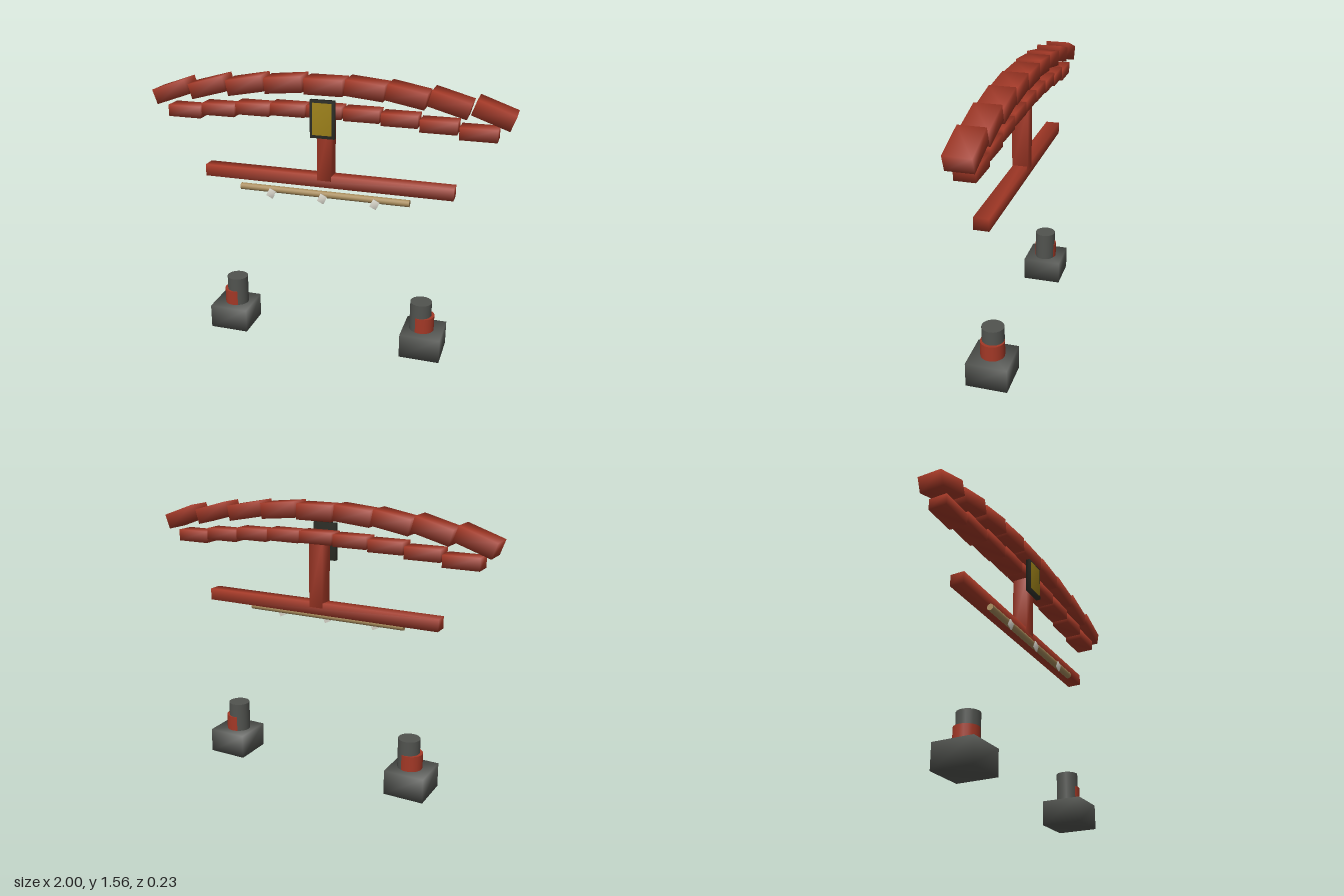
import * as THREE from 'three';
import { mergeVertices } from 'three/addons/utils/BufferGeometryUtils.js';

function material(name, color) {
  const m = new THREE.MeshStandardMaterial({ color });
  m.name = name;
  return m;
}

// Box whose corners share normals, for soft shading over the edges
function softBox(w, h, d) {
  const g = new THREE.BoxGeometry(w, h, d);
  g.deleteAttribute('normal');
  g.deleteAttribute('uv');
  const merged = mergeVertices(g);
  merged.computeVertexNormals();
  return merged;
}

export function createModel() {
  const red = material('vermilion', 0xa23826);
  const stone = material('dark stone', 0x51534f);
  const frame = material('frame black', 0x2a2b24);
  const gold = material('gold', 0x9c8018);
  const straw = material('straw', 0xa88c5c);
  const paper = material('paper', 0xd8d5ca);

  const model = new THREE.Group();
  model.name = 'gate';

  function add(name, geometry, mat, x, y, z, rz = 0, parent = model) {
    const mesh = new THREE.Mesh(geometry, mat);
    mesh.name = name;
    mesh.position.set(x, y, z);
    mesh.rotation.z = rz;
    parent.add(mesh);
    return mesh;
  }

  // Curved top lintel and stepped lower lintel, mirrored from the centre out
  const topBlock = softBox(0.21, 0.085, 0.138);
  const lowBlock = softBox(0.194, 0.065, 0.106);
  const topX = [0, 0.223, 0.442, 0.664, 0.886];
  const topY = [1.507, 1.505, 1.487, 1.462, 1.425];
  const tilt = [0, 5.5, 10.5, 15.5, 19.5];
  const lowY = [1.37, 1.366, 1.356, 1.338, 1.315];
  const topLintel = new THREE.Group();
  topLintel.name = 'topLintel';
  const lowerLintel = new THREE.Group();
  lowerLintel.name = 'lowerLintel';
  model.add(topLintel, lowerLintel);
  for (let i = -4; i <= 4; i++) {
    const k = Math.abs(i);
    const s = Math.sign(i);
    add('topLintelBlock', topBlock, red, s * topX[k], topY[k], 0,
      -s * THREE.MathUtils.degToRad(tilt[k]), topLintel);
    add('lowerLintelBlock', lowBlock, red, i * 0.204, lowY[k], 0, 0, lowerLintel);
  }

  // Tie beam and centre strut
  add('tieBeam', softBox(1.42, 0.066, 0.08), red, 0, 0.978, 0);
  add('centreStrut', softBox(0.08, 0.36, 0.088), red, 0, 1.165, 0);

  // Plaque with thin gold panel
  add('plaqueFrame', softBox(0.136, 0.206, 0.025), frame, 0, 1.338, 0.0665);
  add('plaquePanel', softBox(0.106, 0.174, 0.008), gold, 0, 1.34, 0.08);

  // Straw rope with paper streamers
  const rope = add('rope', new THREE.CylinderGeometry(0.019, 0.019, 0.966, 16), straw, 0, 0.914, 0.061);
  rope.rotation.z = Math.PI / 2;
  const streamer = softBox(0.04, 0.047, 0.007);
  for (const x of [-0.297, 0, 0.296]) add('paperStreamer', streamer, paper, x, 0.895, 0.082, -0.45);

  // Footings: stone block, pillar stub and red collar
  const block = softBox(0.228, 0.14, 0.23);
  const stub = new THREE.CylinderGeometry(0.0615, 0.0615, 0.18, 20);
  const collar = new THREE.CylinderGeometry(0.067, 0.067, 0.1, 20);
  for (const s of [-1, 1]) {
    const footing = new THREE.Group();
    footing.name = s > 0 ? 'leftFooting' : 'rightFooting';
    model.add(footing);
    add('stoneBlock', block, stone, s * 0.58, 0.07, 0, 0, footing);
    add('pillarStub', stub, stone, s * 0.561, 0.22, 0, 0, footing);
    add('pillarCollar', collar, red, s * 0.573, 0.179, 0, 0, footing);
  }

  return model;
}
